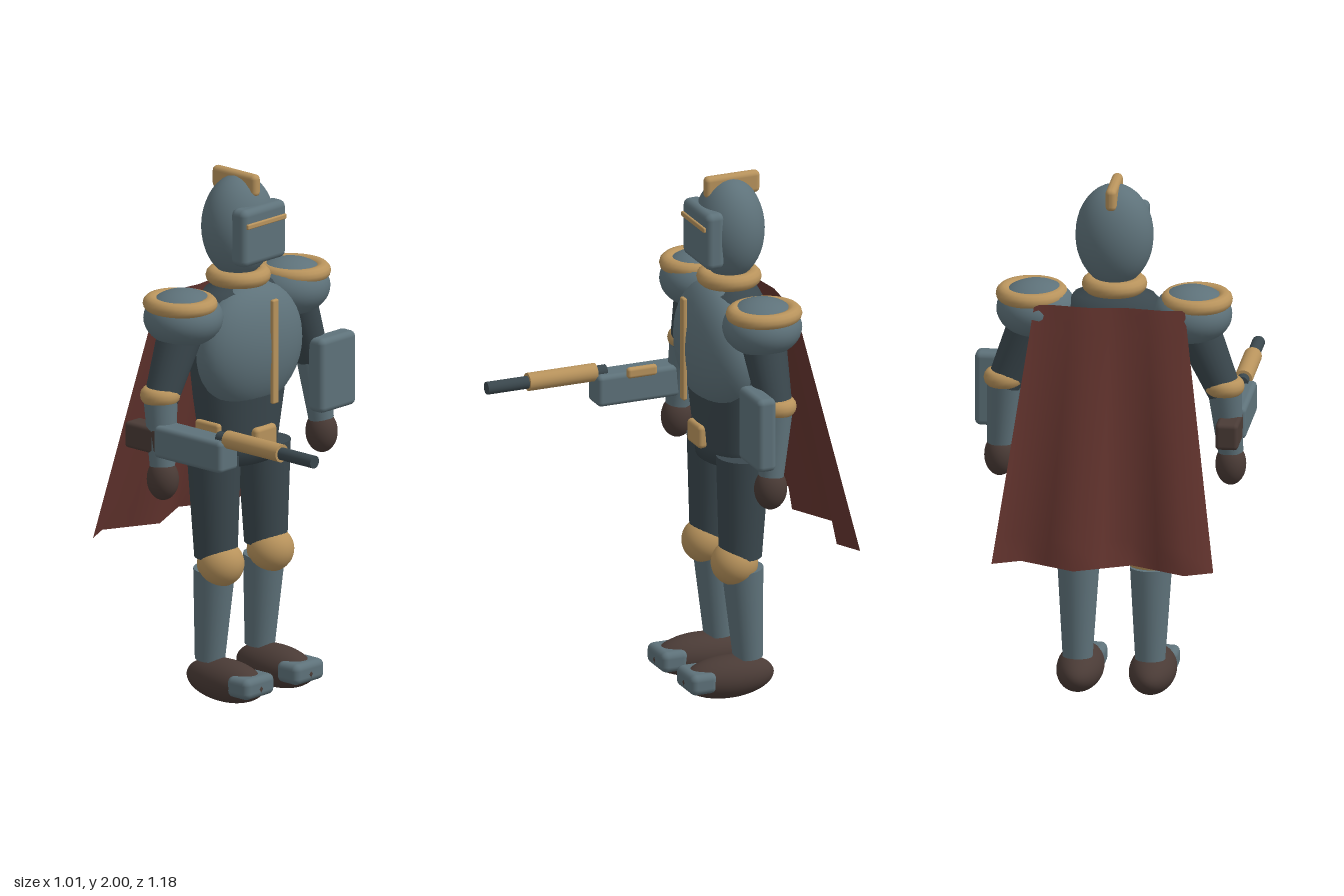
import * as THREE from 'three';
import { RoundedBoxGeometry } from 'three/addons/geometries/RoundedBoxGeometry.js';

const mat = (name, color, side = THREE.FrontSide) => {
  const m = new THREE.MeshStandardMaterial({ color, side });
  m.name = name;
  return m;
};

export function createModel() {
  const steel = mat('steel', 0x5e727a);
  const suit = mat('dark suit', 0x3a474d);
  const gold = mat('gold', 0xb8935c);
  const leather = mat('brown leather', 0x4a3b36);
  const cloth = mat('red cloth', 0x65352f, THREE.DoubleSide);

  const model = new THREE.Group();
  model.name = 'armouredKnight';
  const body = new THREE.Group();
  body.name = 'body';
  body.position.x = -0.02;
  model.add(body);

  const add = (name, geometry, material, x, y, z) => {
    const mesh = new THREE.Mesh(geometry, material);
    mesh.name = name;
    mesh.position.set(x, y, z);
    body.add(mesh);
    return mesh;
  };
  const ellipsoid = (name, m, [x, y, z], [rx, ry, rz]) =>
    add(name, new THREE.SphereGeometry(1, 32, 20).scale(rx, ry, rz), m, x, y, z);
  const box = (name, m, [x, y, z], [w, h, d], r) =>
    add(name, new RoundedBoxGeometry(w, h, d, 3, r), m, x, y, z);
  const ring = (name, m, [x, y, z], R, tube, sx = 1, sy = 1, sz = 1) =>
    add(name, new THREE.TorusGeometry(R, tube, 12, 32).rotateX(Math.PI / 2).scale(sx, sy, sz), m, x, y, z);
  // Tapered cylinder from point a (radius ra) to point b (radius rb)
  const limb = (name, m, a, b, ra, rb) => {
    const A = new THREE.Vector3(...a), B = new THREE.Vector3(...b);
    const dir = A.clone().sub(B);
    const mid = A.clone().add(B).multiplyScalar(0.5);
    const mesh = add(name, new THREE.CylinderGeometry(ra, rb, dir.length(), 24), m, mid.x, mid.y, mid.z);
    mesh.quaternion.setFromUnitVectors(new THREE.Vector3(0, 1, 0), dir.normalize());
    return mesh;
  };

  // Head and helmet
  ellipsoid('helmet', steel, [0, 1.79, -0.195], [0.145, 0.195, 0.13]);
  box('visor', steel, [0, 1.78, -0.093], [0.235, 0.22, 0.075], 0.025);
  box('visorSlit', gold, [0, 1.83, -0.053], [0.21, 0.02, 0.012], 0.005);
  box('crest', gold, [0, 1.957, -0.205], [0.04, 0.085, 0.22], 0.018);
  ring('collar', gold, [0, 1.6, -0.195], 0.09, 0.031);

  // Torso: elliptical lathe under a domed breastplate
  const torsoProfile = [[0, 0.9], [0.162, 0.9], [0.17, 0.96], [0.2, 1.15], [0.225, 1.36], [0.21, 1.48], [0.15, 1.56], [0, 1.6]]
    .map(([r, y]) => new THREE.Vector2(r, y));
  add('torso', new THREE.LatheGeometry(torsoProfile, 32).scale(1, 1, 0.69), suit, 0, 0, -0.192);
  ellipsoid('breastplate', steel, [0, 1.342, -0.14], [0.253, 0.243, 0.13]);
  box('breastplateRidge', gold, [0, 1.34, -0.012], [0.033, 0.4, 0.018], 0.007);
  box('beltBuckle', gold, [0, 1.0, -0.068], [0.115, 0.09, 0.04], 0.016);

  for (const s of [-1, 1]) {
    const side = s > 0 ? 'left' : 'right';
    // Legs
    limb(side + 'Thigh', suit, [s * 0.135, 0.94, -0.192], [s * 0.135, 0.55, -0.182], 0.1, 0.08);
    ellipsoid(side + 'Knee', gold, [s * 0.135, 0.525, -0.158], [0.088, 0.086, 0.088]);
    limb(side + 'Shin', steel, [s * 0.135, 0.5, -0.19], [s * 0.135, 0.15, -0.212], 0.078, 0.056);
    ellipsoid(side + 'Boot', leather, [s * 0.135, 0.082, -0.132], [0.087, 0.08, 0.181]);
    box(side + 'ToeCap', steel, [s * 0.135, 0.088, -0.007], [0.16, 0.08, 0.108], 0.025);

    // Arms
    ellipsoid(side + 'Pauldron', steel, [s * 0.29, 1.495, -0.202], [0.148, 0.107, 0.148]);
    ring(side + 'PauldronRim', gold, [s * 0.307, 1.553, -0.202], 0.104, 0.029, 1, 1, 1.08);
    limb(side + 'UpperArm', suit, [s * 0.29, 1.48, -0.2], [s * 0.41, 1.2, -0.205], 0.088, 0.063);
    ring(side + 'ElbowBand', gold, [s * 0.41, 1.222, -0.207], 0.048, 0.027, 1, 1.2, 1);
    limb(side + 'Forearm', steel, [s * 0.41, 1.22, -0.205], [s * 0.43, 0.96, -0.177], 0.064, 0.047);
    ellipsoid(side + 'Hand', leather, [s * 0.43, 0.91, -0.175], [0.057, 0.08, 0.062]);
  }

  // Arm shield
  box('armShield', steel, [0.43, 1.152, -0.122], [0.193, 0.285, 0.076], 0.022);

  // Long gun held along the right forearm
  box('gunStock', leather, [-0.433, 1.06, -0.24], [0.085, 0.1, 0.18], 0.015);
  box('gunReceiver', steel, [-0.433, 1.064, -0.006], [0.104, 0.122, 0.338], 0.018);
  limb('gunSleeve', gold, [-0.433, 1.128, 0.427], [-0.433, 1.128, 0.155], 0.034, 0.034);
  limb('gunBarrel', suit, [-0.433, 1.127, 0.592], [-0.433, 1.127, 0.113], 0.024, 0.024);
  box('gunSight', gold, [-0.367, 1.13, -0.004], [0.026, 0.042, 0.12], 0.012);

  // Cape: flaring sheet whose folds deepen towards the hem
  const cape = new THREE.PlaneGeometry(1, 1, 8, 10);
  const p = cape.attributes.position;
  for (let i = 0; i < p.count; i++) {
    const u = p.getX(i) + 0.5, drop = 0.5 - p.getY(i);
    const fold = -Math.sin(u * Math.PI * 4) * (0.008 + 0.041 * drop);
    p.setXYZ(i, (u - 0.5) * (0.56 + 0.265 * drop), 1.55 - 0.945 * drop, -0.338 - 0.205 * drop + fold);
  }
  cape.computeVertexNormals();
  add('cape', cape, cloth, 0, 0, 0);

  return model;
}
